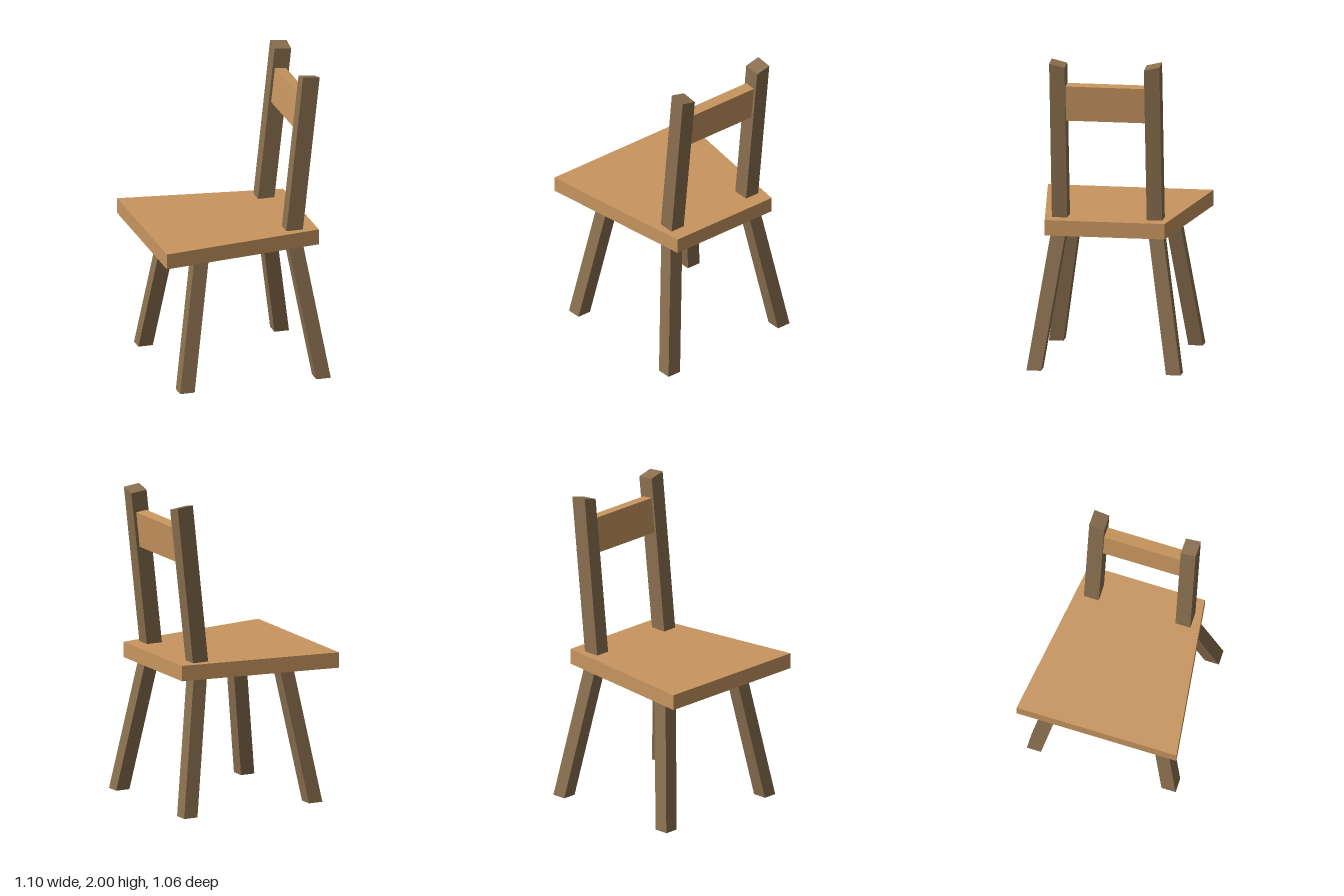
import * as THREE from 'three';

// Box whose eight corners are placed by a rule: (sx, sy, sz are -1 or 1) -> [x, y, z]
function block(name, material, corner) {
  const geometry = new THREE.BoxGeometry(2, 2, 2);
  const p = geometry.attributes.position;
  for (let i = 0; i < p.count; i++) {
    p.setXYZ(i, ...corner(Math.sign(p.getX(i)), Math.sign(p.getY(i)), Math.sign(p.getZ(i))));
  }
  geometry.computeVertexNormals();
  const mesh = new THREE.Mesh(geometry, material);
  mesh.name = name;
  return mesh;
}

export function createModel() {
  const chair = new THREE.Group();
  chair.name = 'chair';
  const lightWood = new THREE.MeshStandardMaterial({ color: 0xc8965f });
  lightWood.name = 'light wood';
  const darkWood = new THREE.MeshStandardMaterial({ color: 0x8b7050 });
  darkWood.name = 'dark wood';

  // Seat: wide at the sitter's knees (-x), narrow at the backrest
  chair.add(block('seat', lightWood, (sx, sy, sz) => [
    sx < 0 ? -0.55 : 0.505, sy < 0 ? 0.87 : 0.97, sz * (sx < 0 ? 0.532 : 0.385)]));

  // Splayed legs, each a sheared square bar with a level foot
  const leg = (name, footX, topX, side) => block(name, darkWood, (sx, sy, sz) => [
    (sy < 0 ? footX : topX) + sx * 0.048,
    sy < 0 ? 0 : 0.88,
    side * (sy < 0 ? 0.448 : 0.312) + sz * 0.047]);

  // Leaning backrest post with its top cut sloping inward
  const post = (name, side) => block(name, darkWood, (sx, sy, sz) => {
    const outer = sz * side > 0;
    const z = side * (outer ? 0.354 : 0.255);
    if (sy < 0) return [sx < 0 ? 0.298 : 0.407, 0.96, z];
    return [sx < 0 ? 0.41 : 0.52, 2 - (sx > 0 ? 0.012 : 0) - (outer ? 0 : 0.024), z];
  });

  for (const side of [-1, 1]) {
    const label = side > 0 ? 'Left' : 'Right';
    chair.add(leg('frontLeg' + label, -0.402, -0.262, side));
    chair.add(leg('rearLeg' + label, 0.502, 0.358, side));
    chair.add(post('backPost' + label, side));
  }

  // Crosspiece between the posts, leaning with them
  chair.add(block('backRail', lightWood, (sx, sy, sz) => [
    (sy < 0 ? 0.423 : 0.448) + sx * 0.037,
    (sy < 0 ? 1.614 : 1.841) - sx * 0.004,
    sz * 0.256]));

  return chair;
}
